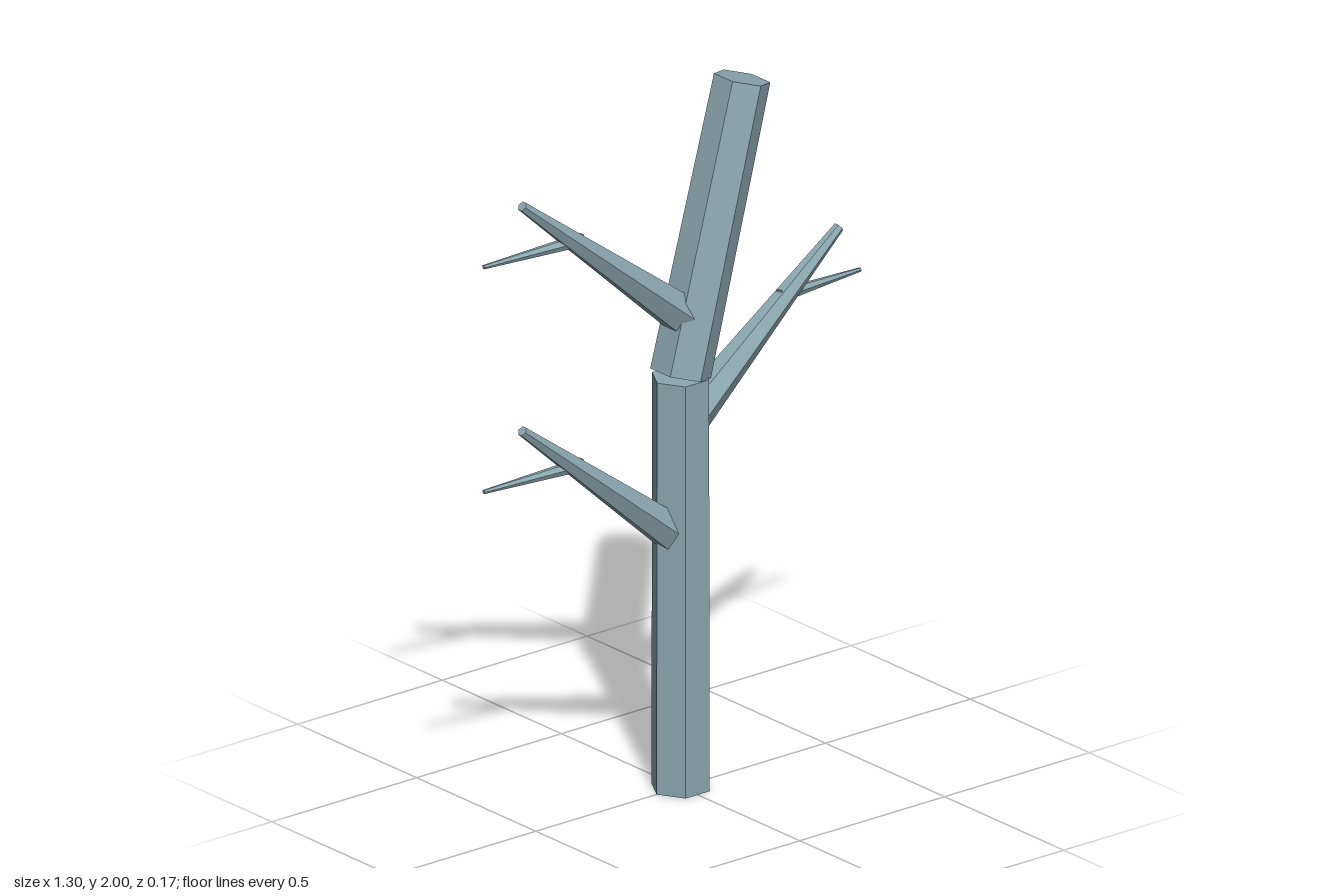
import * as THREE from 'three';

const UP = new THREE.Vector3(0, 1, 0);

export function createModel() {
  const bark = new THREE.MeshStandardMaterial({ color: 0x8ca8b0, flatShading: true });
  bark.name = 'greyBlueBark';

  // Tapered six-sided limb running between two points
  function limb(name, from, to, r0, r1, turn = 0) {
    const a = new THREE.Vector3(...from);
    const dir = new THREE.Vector3(...to).sub(a);
    const length = dir.length();
    const geometry = new THREE.CylinderGeometry(r1, r0, length, 6);
    geometry.rotateY(turn);
    geometry.translate(0, length / 2, 0);
    const mesh = new THREE.Mesh(geometry, bark);
    mesh.name = name;
    mesh.position.copy(a);
    mesh.quaternion.setFromUnitVectors(UP, dir.normalize());
    return mesh;
  }

  // Branch with one side twig; side is +1 or -1 along x
  function branch(name, side, y) {
    const group = new THREE.Group();
    group.name = name;
    group.position.y = y;
    group.add(
      limb('branchStem', [0, 0, 0], [side * 0.547, 0.445, 0], 0.058, 0.0145),
      limb('twig', [side * 0.34, 0.298, 0], [side * 0.65, 0.285, -0.037], 0.019, 0.006)
    );
    return group;
  }

  const tree = new THREE.Group();
  tree.name = 'bareTree';
  tree.add(
    limb('lowerTrunk', [0, 0, 0], [0, 1.18, 0], 0.083, 0.081, Math.PI / 6),
    limb('upperTrunk', [0, 1.188, 0], [0.2125, 1.982, 0], 0.084, 0.078),
    branch('lowerRightBranch', -1, 0.715),
    branch('leftBranch', 1, 1.025),
    branch('upperRightBranch', -1, 1.36)
  );
  return tree;
}
